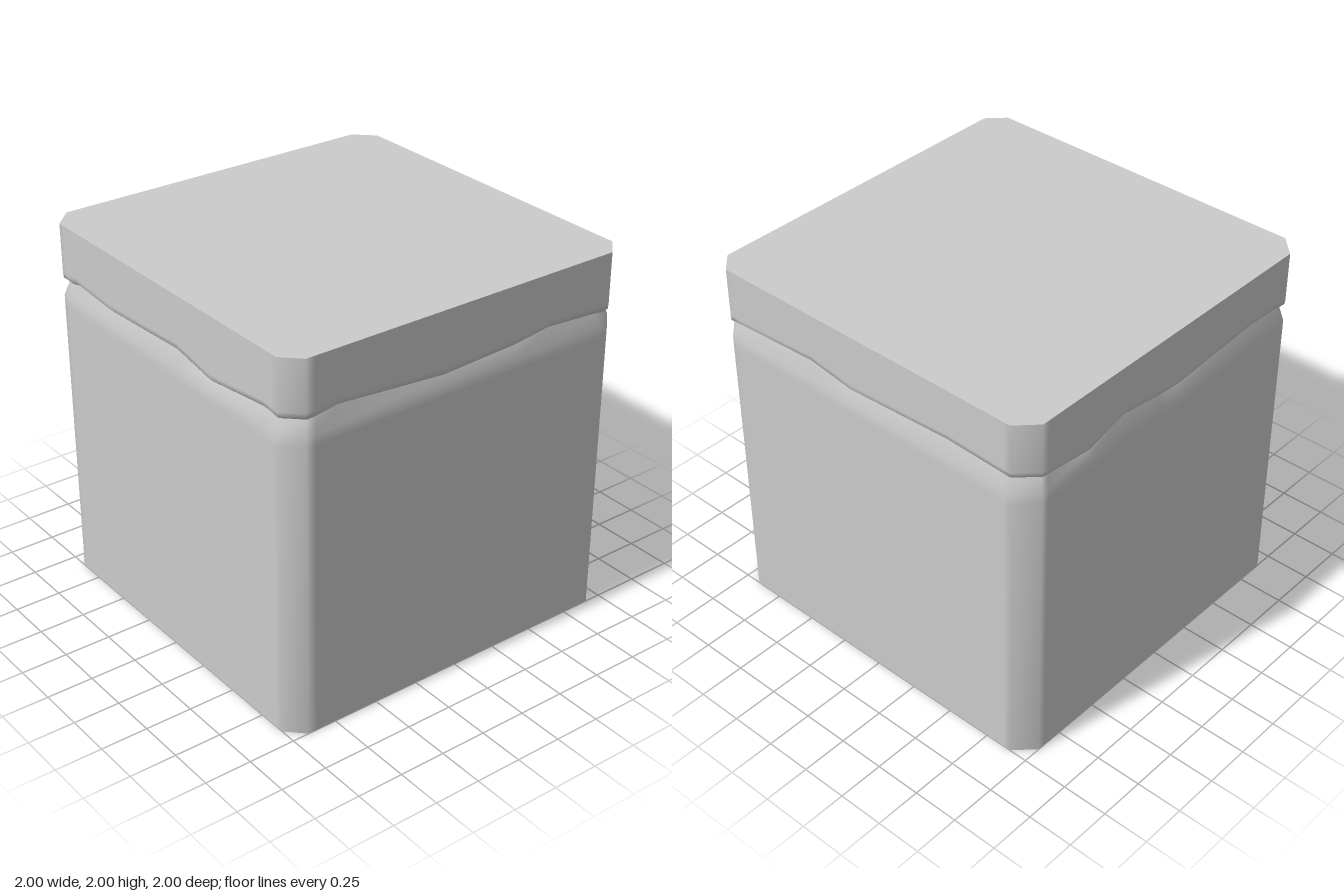
import * as THREE from 'three';

// Seam height along each wall as [distance along wall, y], walking round the block
const SEAM = [
  [[-0.9, 1.69], [-0.86, 1.69], [-0.78, 1.705], [-0.47, 1.68], [0.12, 1.705], [0.39, 1.655], [0.8, 1.7], [0.86, 1.695], [0.91, 1.687]], // front
  [[-0.91, 1.688], [-0.86, 1.69], [-0.74, 1.71], [-0.11, 1.66], [0.33, 1.68], [0.55, 1.708], [0.86, 1.688], [0.91, 1.682]], // +x side
  [[-0.91, 1.69], [-0.86, 1.695], [-0.35, 1.72], [-0.09, 1.68], [0.52, 1.71], [0.86, 1.697], [0.9, 1.695]], // back
  [[-0.9, 1.69], [-0.86, 1.685], [-0.58, 1.655], [-0.35, 1.72], [-0.07, 1.68], [0.07, 1.67], [0.62, 1.71], [0.86, 1.7], [0.9, 1.69]], // -x side
];

// Chamfered square outline, counter-clockwise from above; s is the seam height
const OUTLINE = SEAM.flatMap((wall, i) => wall.map(([u, s]) => {
  const [x, z] = [[u, 1], [1, -u], [-u, -1], [-1, u]][i];
  return { x, z, s };
}));

// Smooth wall through rows of [scale, height rule], bottom to top
function wallGeometry(rows) {
  const n = OUTLINE.length, pos = [], index = [];
  for (const [k, height] of rows) {
    for (const p of OUTLINE) pos.push(p.x * k, height(p.s), p.z * k);
  }
  for (let r = 0; r < rows.length - 1; r++) {
    for (let i = 0; i < n; i++) {
      const a = r * n + i, b = r * n + (i + 1) % n;
      index.push(a, b, b + n, a, b + n, a + n);
    }
  }
  const g = new THREE.BufferGeometry();
  g.setAttribute('position', new THREE.Float32BufferAttribute(pos, 3));
  g.setIndex(index);
  g.computeVertexNormals();
  return g;
}

// Flat end face filling the outline
function endGeometry(y, up) {
  const shape = new THREE.Shape(OUTLINE.map((p) => new THREE.Vector2(p.x, up ? -p.z : p.z)));
  return new THREE.ShapeGeometry(shape).rotateX(up ? -Math.PI / 2 : Math.PI / 2).translate(0, y, 0);
}

export function createModel() {
  const group = new THREE.Group();
  const material = new THREE.MeshStandardMaterial({ color: 0xcccccc });
  const add = (name, geometry) => {
    const mesh = new THREE.Mesh(geometry, material);
    mesh.name = name;
    group.add(mesh);
  };

  const inset = 0.977;
  // Lower block with a shoulder sloping in to the seam
  add('lowerBlock', wallGeometry([
    [1, () => 0], [1, () => 1.56], [1, () => 1.615], [inset, (s) => s],
  ]));
  // Upper layer with a rolled, wavy lower lip
  add('upperLayer', wallGeometry([
    [inset, (s) => s], [0.998, (s) => s + 0.02], [1, (s) => s + 0.045], [1, () => 2],
  ]));
  add('topFace', endGeometry(2, true));
  add('bottomFace', endGeometry(0, false));
  return group;
}
